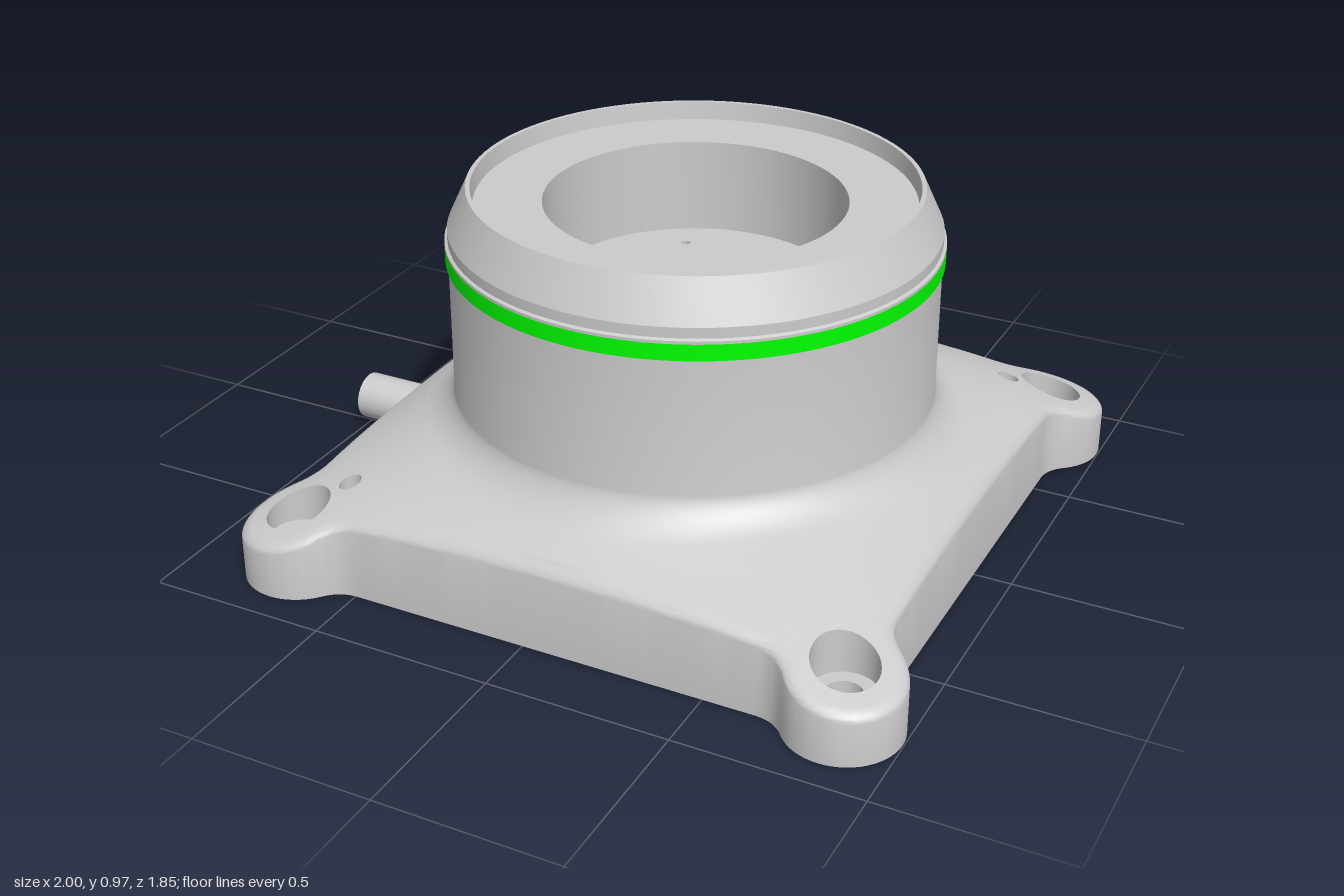
import * as THREE from 'three';
import { mergeGeometries, toCreasedNormals } from 'three/addons/utils/BufferGeometryUtils.js';

const V2 = (x, y) => new THREE.Vector2(x, y);
const DEG = Math.PI / 180;
const EAR = 0.772, EAR_R = 0.152, SIDE = 0.823, FILLET = 0.1, ROUND = 0.028;
const SEG = 96, SKIRT_R = 0.73, BODY_R = 0.648;
const FLOOR_Y = 0.66, CEILING_Y = 0.45;

// Height of the base top: steep towards the sides, gentle towards the ears,
// with a round blend into the body
function topAt(p) {
  const r = p.length();
  const slope = 0.36 + 0.31 * Math.cos(2 * p.angle()) ** 2;
  const t = Math.min(1, Math.max(0, (SKIRT_R - r) / (SKIRT_R - BODY_R)));
  return 0.35 - slope * (r - BODY_R) + 0.06 * (1 - Math.sqrt(1 - t * t));
}

const turn = (p, k) => p.clone().rotateAround(V2(0, 0), k * Math.PI / 2);

function arc(cx, cy, r, from, to, n) {
  return Array.from({ length: n + 1 }, (_, i) => {
    const a = (from + (to - from) * i / n) * DEG;
    return V2(cx + r * Math.cos(a), cy + r * Math.sin(a));
  });
}
const circle = (c, r, n) => arc(c.x, c.y, r, 0, 360, n).slice(0, -1);

// Plan points are (x, -z); lift places them at a height
const lift = (pts, y) => pts.map(p => new THREE.Vector3(p.x, typeof y === 'function' ? y(p) : y, -p.y));

function bare(geo) {
  const g = geo.index ? geo.toNonIndexed() : geo;
  g.deleteAttribute('uv');
  g.deleteAttribute('normal');
  return g;
}

// Skin between closed loops; bottom to top faces out, top to bottom faces in
function skin(loops) {
  const v = [];
  for (let k = 0; k + 1 < loops.length; k++) {
    const lo = loops[k], hi = loops[k + 1];
    lo.forEach((a, i) => {
      const j = (i + 1) % lo.length;
      v.push(a, lo[j], hi[j], a, hi[j], hi[i]);
    });
  }
  return new THREE.BufferGeometry().setFromPoints(v);
}

// Flat face with holes at height y
function face(contour, holes, y, down = false) {
  const s = new THREE.Shape(contour);
  s.holes = holes.map(h => new THREE.Path(h));
  const g = new THREE.ShapeGeometry(s).rotateX(-Math.PI / 2).translate(0, y, 0);
  if (down) g.setIndex(Array.from(g.index.array).reverse());
  return bare(g);
}

// Split long edges, then raise every vertex onto the sloping top
function drape(geo, maxEdge) {
  const p = geo.attributes.position, stack = [], out = [];
  for (let i = 0; i < p.count; i += 3) {
    const t = [0, 1, 2].map(j => new THREE.Vector3().fromBufferAttribute(p, i + j));
    if (new THREE.Triangle(...t).getArea() > 1e-7) stack.push(t);
  }
  while (stack.length) {
    const t = stack.pop();
    const len = t.map((a, i) => a.distanceTo(t[(i + 1) % 3]));
    const m = Math.max(...len);
    if (m <= maxEdge) { out.push(...t); continue; }
    const i = len.indexOf(m), a = t[i], b = t[(i + 1) % 3], c = t[(i + 2) % 3];
    const mid = a.clone().add(b).multiplyScalar(0.5);
    stack.push([a, mid, c], [mid, b, c]);
  }
  out.forEach(v => { v.y = topAt(V2(v.x, -v.z)); });
  return new THREE.BufferGeometry().setFromPoints(out);
}

const lathe = pts => bare(new THREE.LatheGeometry(pts.map(([r, y]) => V2(r, y)), SEG));

// Square outline with a round ear on each corner, blended by small fillets
function outlinePoints() {
  const dx = SIDE + FILLET - EAR;
  const dy = Math.sqrt((FILLET + EAR_R) ** 2 - dx * dx);
  const a = Math.atan2(dy, dx) / DEG;
  const corner = [
    ...arc(SIDE + FILLET, EAR - dy, FILLET, 180, 180 - a, 8),
    ...arc(EAR, EAR, EAR_R, -a, 90 + a, 30),
    ...arc(EAR - dy, SIDE + FILLET, FILLET, a - 90, -90, 8)
  ];
  const path = new THREE.Path([0, 1, 2, 3].flatMap(k => corner.map(p => turn(p, k))));
  path.closePath();
  return path.getSpacedPoints(440).slice(0, -1);
}

function housingGeometry() {
  const parts = [];
  const outline = outlinePoints(), n = outline.length;
  const normals = outline.map((_, i) => {
    const d = outline[(i + 1) % n].clone().sub(outline[(i + n - 1) % n]).normalize();
    return V2(d.y, -d.x);
  });
  const inset = outline.map((p, i) => p.clone().addScaledVector(normals[i], -ROUND));

  // Side wall with a rounded top edge
  const loops = [lift(outline, 0)];
  for (let k = 5; k >= 0; k--) {
    const a = k / 5 * Math.PI / 2;
    loops.push(inset.map((p, i) => {
      const q = p.clone().addScaledVector(normals[i], ROUND * Math.sin(a));
      return new THREE.Vector3(q.x, topAt(q) - ROUND * 0.6 * (1 - Math.cos(a)), -q.y);
    }));
  }
  parts.push(skin(loops));

  const topHoles = [circle(V2(0, 0), SKIRT_R, SEG)];
  const bottomHoles = [circle(V2(0, 0), 0.75, SEG)];
  for (let k = 0; k < 4; k++) {
    // Counterbored screw hole in each ear
    const c = turn(V2(EAR, EAR), k);
    const bore = circle(c, 0.085, 32), hole = circle(c, 0.047, 32);
    topHoles.push(bore);
    bottomHoles.push(hole);
    parts.push(skin([lift(bore, topAt), lift(bore, 0.1)]), skin([lift(hole, 0.1), lift(hole, 0)]));
    parts.push(face(bore, [hole], 0.1));

    // Small pin hole beside two opposite ears
    const pinned = k % 2 === 0;
    if (pinned) {
      const pin = circle(turn(V2(0.672, 0.675), k), 0.03, 20);
      topHoles.push(pin);
      bottomHoles.push(pin);
      parts.push(skin([lift(pin, topAt), lift(pin, 0)]));
    }

    // Hollow pocket under each corner
    const e = pinned ? 0.2 : 0.165;
    const pocket = [
      ...arc(0, 0, 0.8, 68, 22, 14), V2(0.78, 0.36),
      ...arc(EAR, EAR, e, -88, -182, 12), V2(0.36, 0.78)
    ].map(p => turn(p, k));
    bottomHoles.push(pocket);
    parts.push(skin([lift(pocket, 0.14), lift(pocket, 0)]), face(pocket, [], 0.14, true));
  }
  parts.push(drape(face(inset, topHoles, 0), 0.05), face(outline, bottomHoles, 0, true));

  // Skirt blending the sloping top into the round body
  parts.push(skin(Array.from({ length: 13 }, (_, i) => {
    const r = SKIRT_R - (SKIRT_R - BODY_R) * Math.sin(i / 12 * Math.PI / 2);
    return lift(circle(V2(0, 0), r, SEG), topAt);
  })));
  // Round body, lip over the seal, chamfered rim and cup wall
  parts.push(lathe([[BODY_R, 0.41], [BODY_R, 0.82], [0.656, 0.82], [0.656, 0.828], [BODY_R, 0.832],
    [BODY_R, 0.86], [0.597, 0.97], [0.585, 0.97], [0.58, 0.92], [0.4, 0.92], [0.4, FLOOR_Y]]));
  // Stepped bore underneath
  parts.push(lathe([[0.58, CEILING_Y], [0.58, 0.21], [0.75, 0.21], [0.75, 0]]));
  return toCreasedNormals(mergeGeometries(parts), 0.42);
}

export function createModel() {
  const model = new THREE.Group();
  model.position.x = 0.073;
  const grey = new THREE.MeshStandardMaterial({ color: 0xcccccc });
  const green = new THREE.MeshStandardMaterial({ color: 0x00ff00 });
  const add = (name, geo, mat = grey) => {
    const m = new THREE.Mesh(geo, mat);
    m.name = name;
    model.add(m);
    return m;
  };

  add('housing', housingGeometry());

  // Cup floor with four pin holes and the cable hole
  const disc = new THREE.Shape(circle(V2(0, 0), 0.585, SEG));
  for (const x of [-0.155, 0.155]) for (const y of [-0.257, 0.257])
    disc.holes.push(new THREE.Path(circle(V2(x, y), 0.013, 16)));
  disc.holes.push(new THREE.Path(circle(V2(0.337, 0), 0.072, 32)));
  const floor = new THREE.ExtrudeGeometry(disc, { depth: FLOOR_Y - CEILING_Y, bevelEnabled: false });
  floor.rotateX(-Math.PI / 2).translate(0, CEILING_Y, 0);
  add('cupFloor', toCreasedNormals(floor, 0.42));

  // Coloured seal ring
  add('sealRing', toCreasedNormals(
    lathe([[0.64, 0.776], [0.656, 0.776], [0.656, 0.82], [0.64, 0.82]]), 0.42), green);

  // Cable from the cup floor out through the side wall
  const path = new THREE.CatmullRomCurve3([
    [-1.073, 0.085], [-0.9, 0.085], [-0.72, 0.085], [-0.6, 0.1], [-0.3, 0.2],
    [-0.1, 0.215], [0.15, 0.215], [0.28, 0.25], [0.337, 0.36], [0.337, 0.5], [0.337, 0.65]
  ].map(([x, y]) => new THREE.Vector3(x, y, 0)), false, 'centripetal');
  add('cable', new THREE.TubeGeometry(path, 90, 0.067, 24));
  const outerEnd = add('cableOuterEnd', new THREE.CircleGeometry(0.067, 24));
  outerEnd.position.set(-1.073, 0.085, 0);
  outerEnd.rotation.y = -Math.PI / 2;
  const innerEnd = add('cableInnerEnd', new THREE.CircleGeometry(0.067, 24));
  innerEnd.position.set(0.337, 0.65, 0);
  innerEnd.rotation.x = -Math.PI / 2;

  // Small clip holding the cable at the wall
  add('cableClip', new THREE.BoxGeometry(0.11, 0.03, 0.06)).position.set(-0.755, 0.015, 0);

  const root = new THREE.Group();
  root.name = 'mountedHousing';
  root.add(model);
  return root;
}
